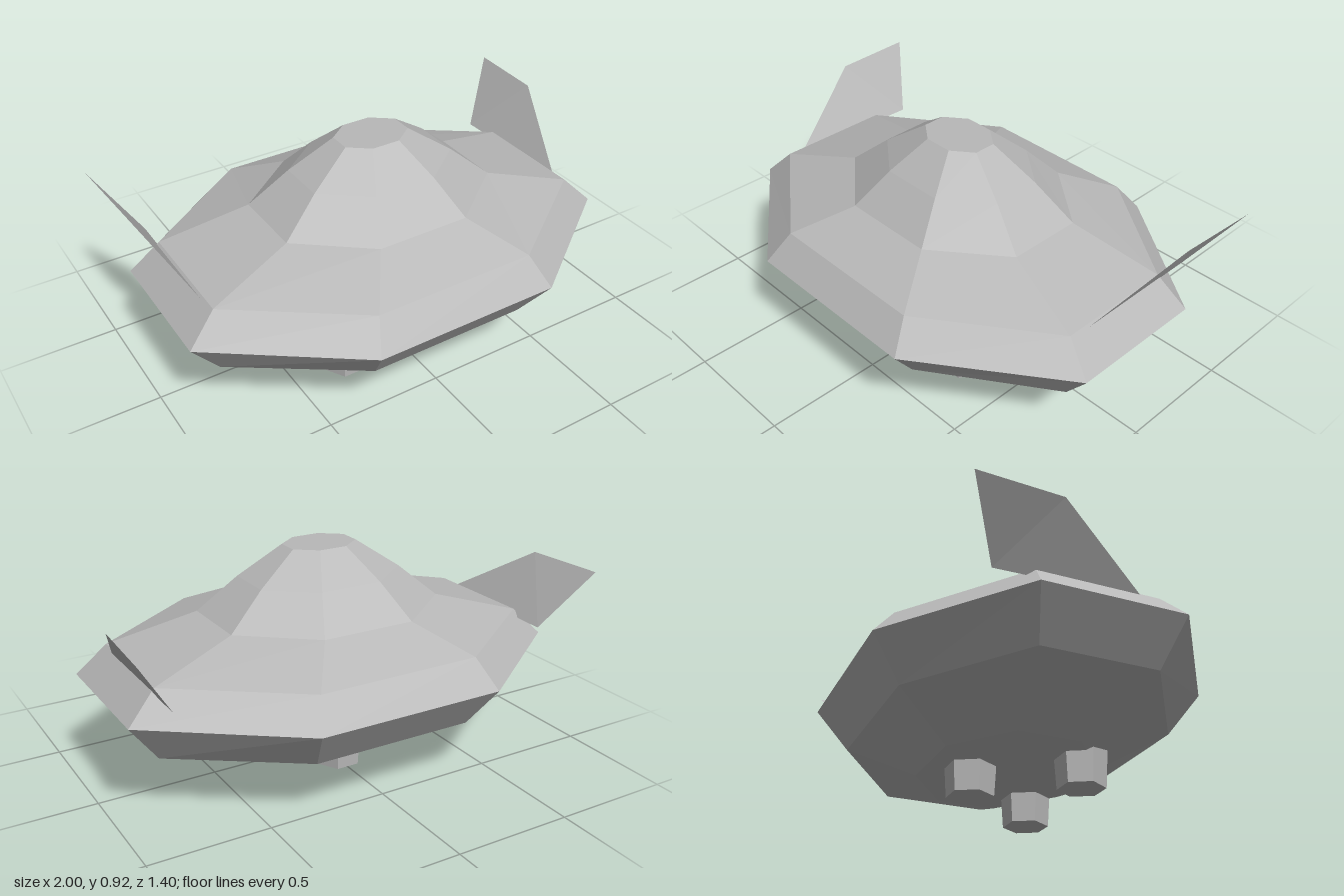
import * as THREE from 'three';

const metal = new THREE.MeshStandardMaterial({ color: 0xb8b8b8, flatShading: true });
metal.name = 'grey metal';
const finMetal = metal.clone();
finMetal.name = 'grey fin metal';
finMetal.side = THREE.DoubleSide;

// Faceted shell from stretched octagon rings [halfWidth, y, halfDepth], bottom to top
function octagonShell(rings) {
  const n = 8, positions = [], index = [];
  for (const [w, y, d] of rings) {
    for (let i = 0; i < n; i++) {
      const a = ((i + 0.5) / n) * Math.PI * 2, k = 1 / Math.cos(Math.PI / n);
      positions.push(Math.cos(a) * w * k, y, Math.sin(a) * d * k);
    }
  }
  for (let r = 0; r < rings.length - 1; r++) {
    for (let i = 0; i < n; i++) {
      const a = r * n + i, b = r * n + ((i + 1) % n);
      index.push(a, a + n, b, b, a + n, b + n);
    }
  }
  // flat caps
  const top = (rings.length - 1) * n;
  for (let i = 1; i < n - 1; i++) {
    index.push(0, i, i + 1);
    index.push(top, top + i + 1, top + i);
  }
  const geo = new THREE.BufferGeometry();
  geo.setAttribute('position', new THREE.Float32BufferAttribute(positions, 3));
  geo.setIndex(index);
  const flat = geo.toNonIndexed();
  flat.computeVertexNormals();
  return flat;
}

// Thin swept fin, outline given for the +x side
function finGeometry(side) {
  const corners = [
    [0.835, 0.53, 0.185],
    [0.98, 0.775, -0.2],
    [0.998, 0.775, -0.55],
    [0.83, 0.52, -0.415],
  ];
  const geo = new THREE.BufferGeometry();
  geo.setAttribute('position', new THREE.Float32BufferAttribute(
    corners.flatMap(([x, y, z]) => [x * side, y, z]), 3));
  geo.setIndex(side > 0 ? [0, 3, 1, 1, 3, 2] : [0, 1, 3, 1, 2, 3]);
  const flat = geo.toNonIndexed();
  flat.computeVertexNormals();
  return flat;
}

export function createModel() {
  const model = new THREE.Group();
  model.name = 'saucer';
  const add = (name, geometry, material) => {
    const mesh = new THREE.Mesh(geometry, material);
    mesh.name = name;
    model.add(mesh);
    return mesh;
  };

  // Hull and dome in one shell
  add('hull', octagonShell([
    [0.42, 0.125, 0.322],
    [0.827, 0.26, 0.572],
    [0.955, 0.433, 0.698],
    [0.835, 0.553, 0.605],
    [0.478, 0.656, 0.383],
    [0.32, 0.793, 0.252],
    [0.145, 0.915, 0.112],
  ]), metal);

  // Side fins
  add('leftFin', finGeometry(1), finMetal);
  add('rightFin', finGeometry(-1), finMetal);

  // Hexagonal feet: two in front, one behind
  const foot = new THREE.CylinderGeometry(0.107, 0.097, 0.16, 6, 1, false, Math.PI / 2);
  const feet = [['frontLeftFoot', 0.257, 0.21], ['frontRightFoot', -0.262, 0.21], ['backFoot', -0.002, -0.152]];
  for (const [name, x, z] of feet) add(name, foot, metal).position.set(x, 0.08, z);

  return model;
}
